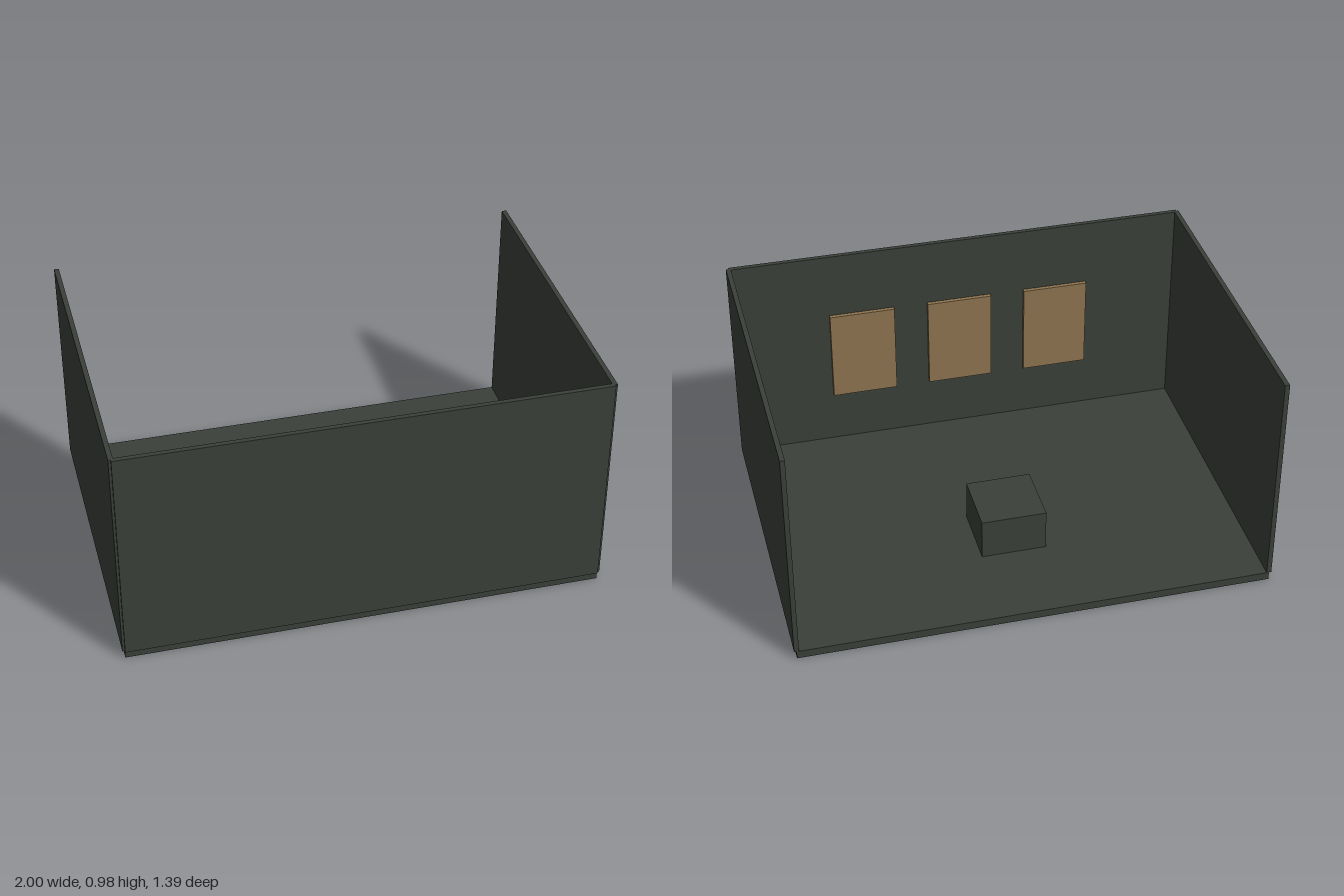
import * as THREE from 'three';

export function createModel() {
  const model = new THREE.Group();
  model.name = 'openRoom';

  const darkGreen = new THREE.MeshStandardMaterial({ color: 0x3a4039 });
  darkGreen.name = 'darkGreenGrey';
  const tan = new THREE.MeshStandardMaterial({ color: 0x8f7550 });
  tan.name = 'tanBoard';

  // Box given by its minimum and maximum corners
  const box = (name, material, min, max) => {
    const size = max.map((v, i) => v - min[i]);
    const mesh = new THREE.Mesh(new THREE.BoxGeometry(...size), material);
    mesh.position.set(...max.map((v, i) => (v + min[i]) / 2));
    mesh.name = name;
    model.add(mesh);
  };

  const floorTop = 0.035, wallTop = 0.98;

  // Floor slab
  box('floor', darkGreen, [-0.99, 0, -0.695], [0.99, floorTop, 0.686]);

  // Front wall and the two side walls; the back is open
  box('frontWall', darkGreen, [-0.99, floorTop, 0.676], [0.99, wallTop, 0.696]);
  box('rightWall', darkGreen, [-1, floorTop, -0.695], [-0.98, wallTop, 0.686]);
  box('leftWall', darkGreen, [0.98, floorTop, -0.695], [1, wallTop, 0.686]);

  // Block standing on the floor
  box('block', darkGreen, [-0.138, floorTop, -0.306], [0.138, 0.215, -0.03]);

  // Three boards on the inside of the front wall
  for (const x of [-0.433, 0, 0.433]) {
    box('wallBoard', tan, [x - 0.142, 0.28, 0.652], [x + 0.142, 0.69, 0.67]);
  }

  return model;
}
